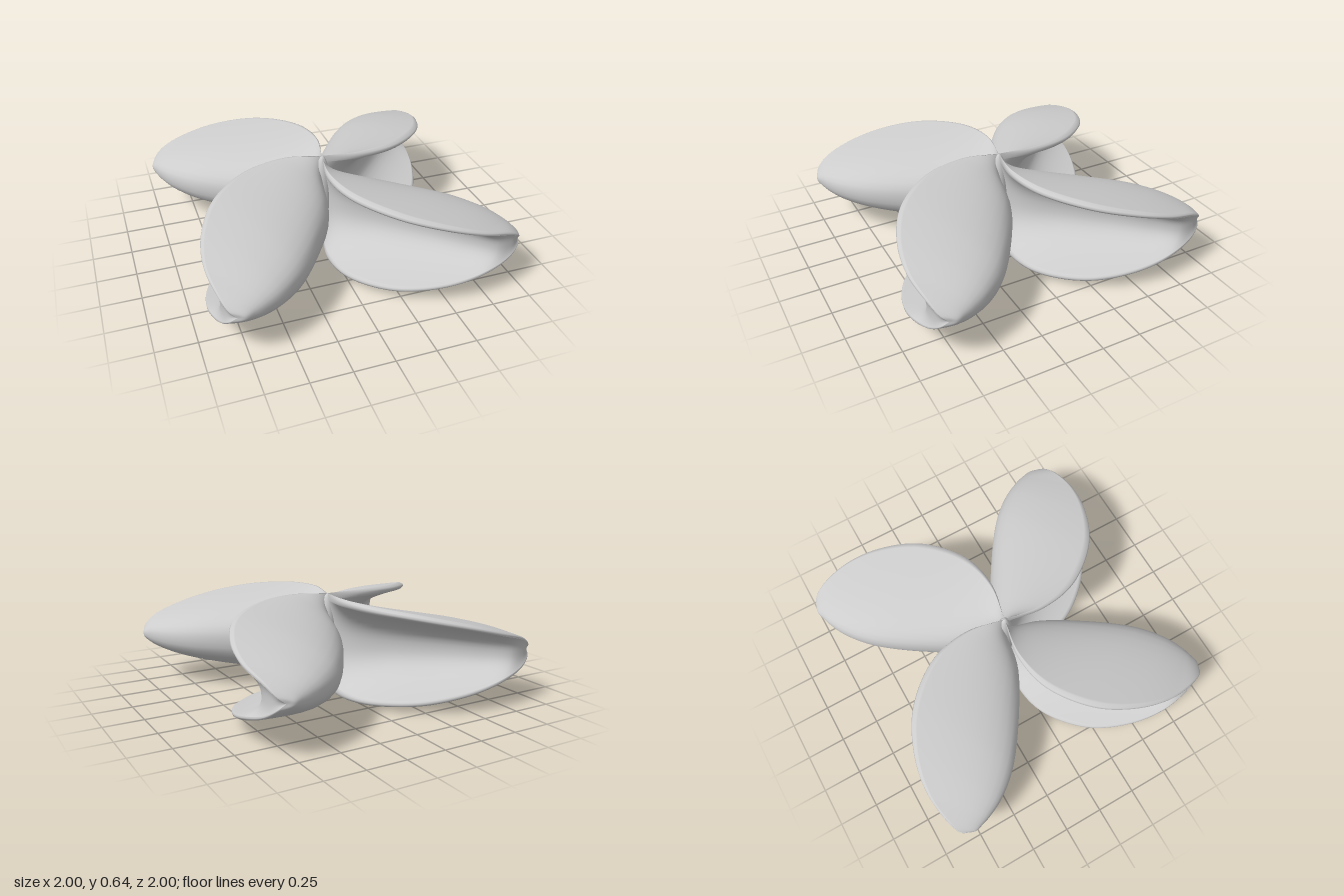
import * as THREE from 'three';

const MID = 0.3225; // height of the plane of symmetry

// Guide lines of one blade, from the hub axis to the tip
const line = (pts) => new THREE.CatmullRomCurve3(pts.map((p) => new THREE.Vector3(...p)));

// upper rim (the lower rim mirrors it)
const rim = line([
  [0, 0.635, 0], [-0.05, 0.645, 0.25], [0, 0.636, 0.5], [0.2, 0.602, 0.75], [0.45, 0.547, 0.88],
  [0.68, 0.485, 0.92], [0.88, 0.42, 0.89], [0.965, 0.36, 0.85], [0.985, MID, 0.81],
]);
// convex back at mid height
const back = line([
  [0, MID, 0], [0.22, MID, 0.03], [0.5, MID, 0.18], [0.78, MID, 0.385], [0.91, MID, 0.54],
  [0.965, MID, 0.65], [0.985, MID, 0.71], [1, MID, 0.77], [0.985, MID, 0.81],
]);
// bottom of the hollow side at mid height
const hollow = line([
  [0, MID, 0], [0.1, MID, 0.16], [0.28, MID, 0.345], [0.51, MID, 0.57], [0.68, MID, 0.745],
  [0.81, MID, 0.865], [0.9, MID, 0.87], [0.95, MID, 0.85], [0.985, MID, 0.81],
]);

// Crescent section: side, reach towards the rim (0 to 1) and height (-1 to 1)
function crescent(steps = 26) {
  const section = [];
  const side = (curve, sign, power, height) => {
    for (let j = 0; j <= steps; j++) {
      const v = sign * Math.cos((j / steps) * Math.PI);
      section.push([curve, 0.955 * Math.pow(Math.abs(v), power), v * height]);
    }
    // rounded lip
    section.push([curve, 0.99, -sign * 0.965], [curve, 1, -sign * 0.925], [curve, 0.99, -sign * 0.885]);
  };
  side(0, -1, 2.7, 1);
  side(1, 1, 2.5, 0.855);
  // the second lip runs upwards, so its points are in reverse order
  const last = section.length;
  [section[last - 3], section[last - 1]] = [section[last - 1], section[last - 3]];
  return section;
}

function bladeGeometry(rows = 64) {
  const section = crescent();
  const ring = section.length;
  const pos = [];
  const index = [];
  for (let i = 0; i <= rows; i++) {
    const t = i / rows;
    const a = rim.getPoint(t);
    const bases = [back.getPoint(t), hollow.getPoint(t)];
    for (const [side, reach, v] of section) {
      const p = bases[side].lerp(a, 0).clone().lerp(a, reach);
      pos.push(p.x, MID + (a.y - MID) * v, p.z);
    }
  }
  for (let i = 0; i < rows; i++) {
    for (let j = 0; j < ring; j++) {
      const p = i * ring + j;
      const q = i * ring + ((j + 1) % ring);
      index.push(p, q, p + ring, q, q + ring, p + ring);
    }
  }
  const g = new THREE.BufferGeometry();
  g.setAttribute('position', new THREE.Float32BufferAttribute(pos, 3));
  g.setIndex(index);
  g.computeVertexNormals();
  return g;
}

export function createModel() {
  const group = new THREE.Group();
  group.name = 'propeller';
  const grey = new THREE.MeshStandardMaterial({ color: 0xcccccc });
  grey.name = 'light grey';

  // four equal blades meeting on the axis
  const geometry = bladeGeometry();
  for (let n = 0; n < 4; n++) {
    const blade = new THREE.Mesh(geometry, grey);
    blade.name = 'blade' + (n + 1);
    blade.rotation.y = (n * Math.PI) / 2;
    group.add(blade);
  }

  // slender hub filling the roots
  const hub = new THREE.Mesh(new THREE.SphereGeometry(1, 24, 24), grey);
  hub.name = 'hub';
  hub.scale.set(0.06, 0.312, 0.06);
  hub.position.y = MID;
  group.add(hub);
  return group;
}
